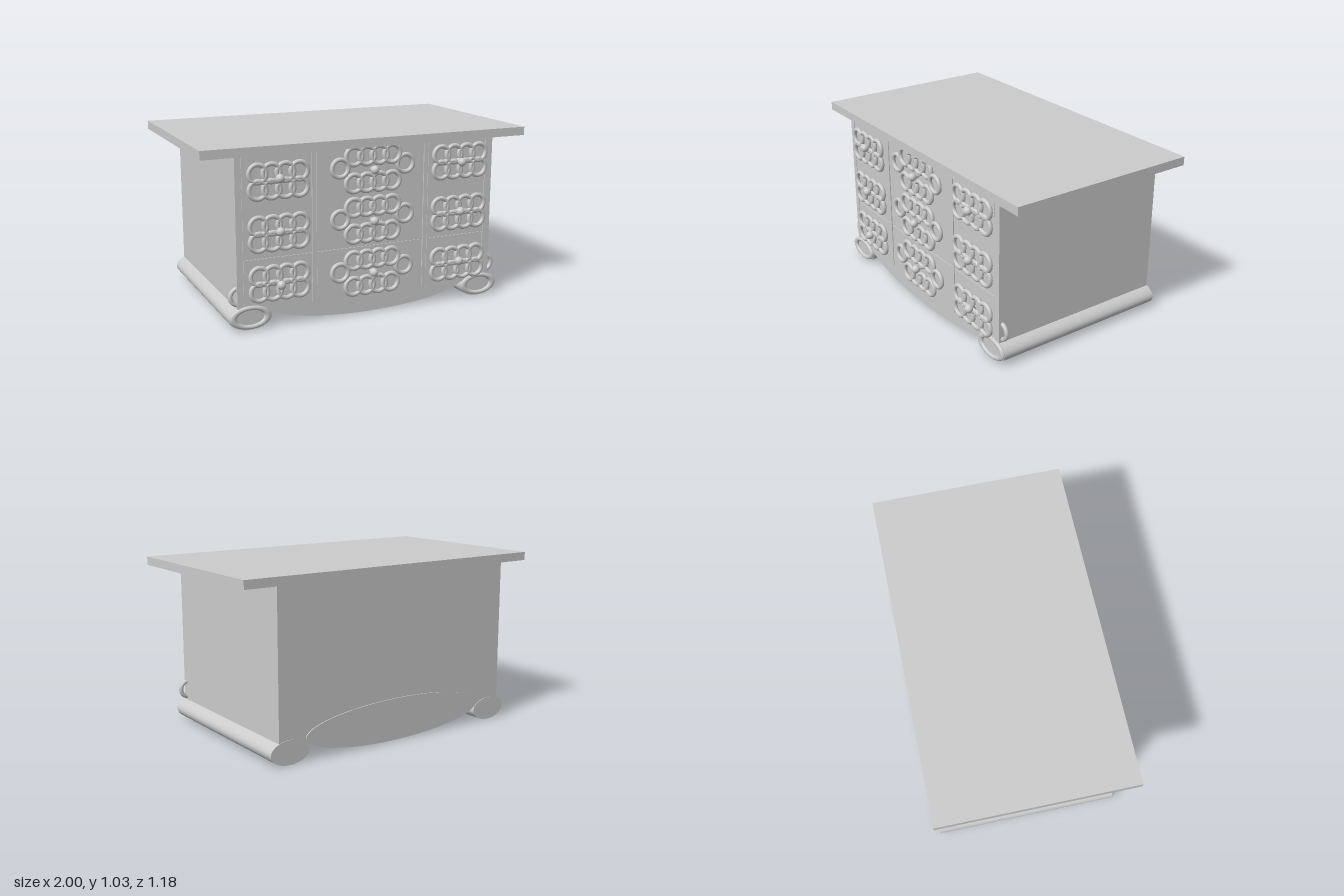
import * as THREE from 'three';

export function createModel() {
  const model = new THREE.Group();
  const material = new THREE.MeshStandardMaterial({ color: 0xcccccc });

  function add(name, geometry, x, y, z, parent = model) {
    const mesh = new THREE.Mesh(geometry, material);
    mesh.name = name;
    mesh.position.set(x, y, z);
    parent.add(mesh);
    return mesh;
  }
  // Box given by its extents
  function box(name, x0, x1, y0, y1, z0, z1) {
    return add(name, new THREE.BoxGeometry(x1 - x0, y1 - y0, z1 - z0),
      (x0 + x1) / 2, (y0 + y1) / 2, (z0 + z1) / 2);
  }
  // Elliptical cylinder lying along z
  function roll(name, x, y, a, b, z0, z1) {
    const g = new THREE.CylinderGeometry(1, 1, z1 - z0, 48);
    g.rotateX(Math.PI / 2);
    g.scale(a, b, 1);
    return add(name, g, x, y, (z0 + z1) / 2);
  }

  // Table top and cabinet body
  box('tableTop', -1, 1, 0.98, 1.03, -0.59, 0.56);
  box('body', -0.805, 0.8, 0.1, 0.98, -0.58, 0.52);

  // Corner posts and dividers on the front
  for (const [x0, x1] of [[-0.805, -0.77], [0.755, 0.8]]) box('cornerPost', x0, x1, 0.1, 0.98, 0.5, 0.526);
  for (const [x0, x1] of [[-0.36, -0.335], [0.34, 0.365]]) box('divider', x0, x1, 0.11, 0.98, 0.5, 0.528);

  // Drawer fronts, split by a narrow gap
  for (const [x0, x1] of [[-0.766, -0.364], [-0.331, 0.336], [0.369, 0.751]]) {
    box('upperFront', x0, x1, 0.409, 0.98, 0.5, 0.525);
    box('lowerFront', x0, x1, 0.1, 0.401, 0.5, 0.525);
  }

  // Bowed belly under the body
  roll('belly', 0, 0.13, 0.63, 0.125, -0.586, 0.524);

  // Scroll feet with oval rings on the front, and a side curl above each
  for (const s of [-1, 1]) {
    roll('scrollFoot', s * 0.732, 0.071, 0.123, 0.07, -0.584, 0.526);
    const oval = new THREE.TorusGeometry(0.82, 0.18, 12, 48);
    oval.scale(0.123, 0.067, 0.07);
    add('scrollRing', oval, s * 0.732, 0.075, 0.53);
    add('sideCurl', new THREE.TorusGeometry(0.048, 0.013, 10, 32), s * 0.79, 0.195, 0.502);
  }

  // Ring ornaments with a knob in the middle
  const ringGeometry = new THREE.TorusGeometry(0.05, 0.013, 10, 28);
  const knobGeometry = new THREE.SphereGeometry(0.025, 20, 14);
  const stemGeometry = new THREE.CylinderGeometry(0.011, 0.011, 0.05, 14).rotateX(Math.PI / 2);

  function ornament(name, x, y, knobY, pitch, rowOffset, sideX) {
    const group = new THREE.Group();
    group.name = name;
    group.position.set(x, y, 0.543);
    for (const row of [-1, 1]) {
      for (let i = 0; i < 4; i++) add('ring', ringGeometry, (i - 1.5) * pitch, row * rowOffset, 0, group);
      if (sideX) add('sideRing', ringGeometry, row * sideX, 0.015, 0, group);
    }
    add('knob', knobGeometry, 0, knobY - y, 0.024, group);
    add('knobStem', stemGeometry, 0, knobY - y, -0.003, group);
    model.add(group);
  }
  const left = [0.835, 0.545, 0.262], right = [0.853, 0.545, 0.236];
  const middle = [0.855, 0.562, 0.252], knobs = [0.85, 0.555, 0.25];
  knobs.forEach((k, i) => {
    ornament('rightOrnament', -0.562, left[i], k, 0.08, 0.045, 0);
    ornament('middleOrnament', 0.005, middle[i], k, 0.079, 0.077, 0.203);
    ornament('leftOrnament', 0.57, right[i], k, 0.083, 0.045, 0);
  });

  return model;
}
